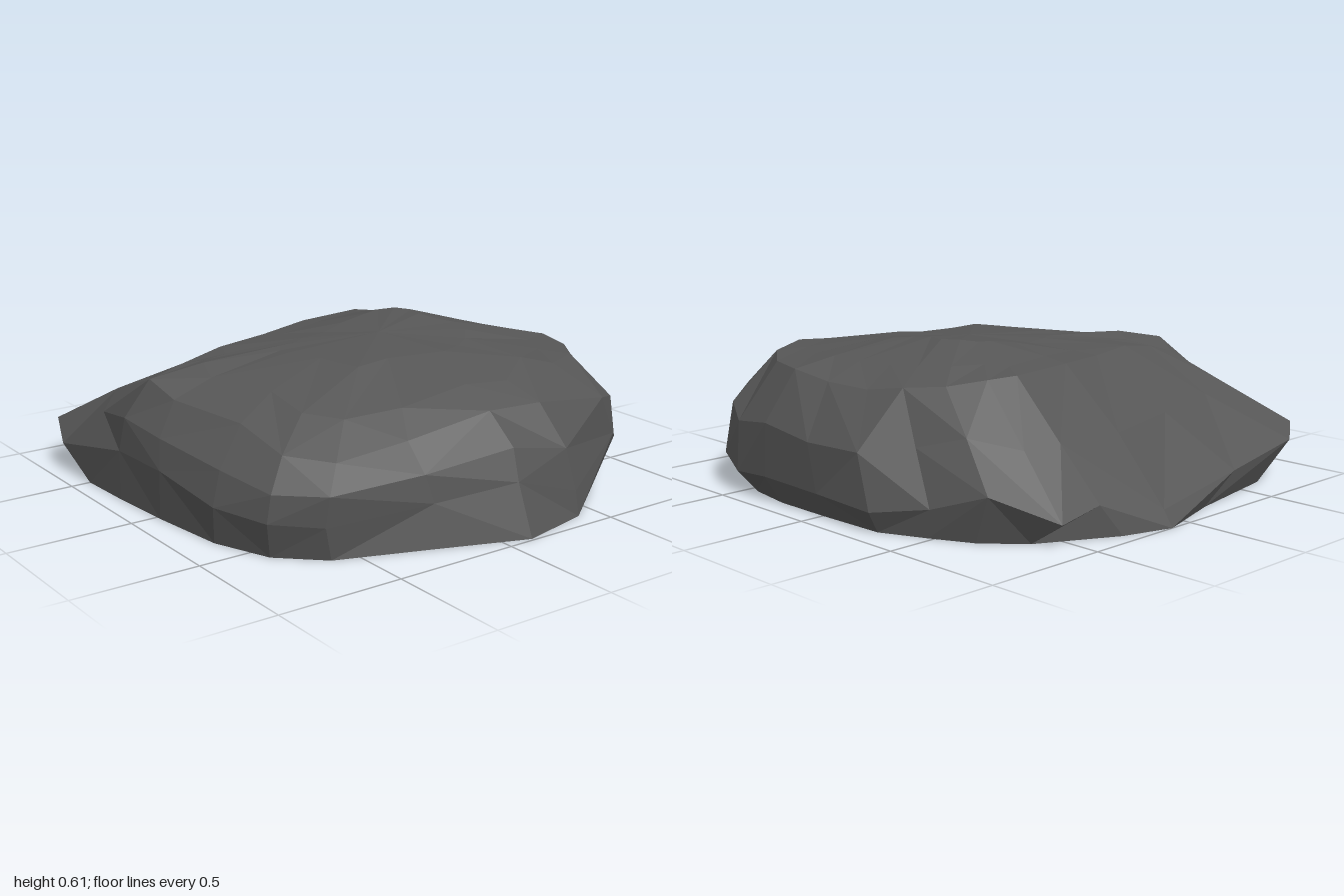
import * as THREE from 'three';

// Ground outline [x, z], clockwise from the back as seen from above
const base = [
  [.1, -1], [.3, -.94], [.6, -.78], [.73, -.64], [.81, -.48], [.89, -.3], [.9, 0], [.9, .25],
  [.87, .45], [.79, .6], [.62, .76], [.41, .92], [.11, .99], [-.24, .86], [-.6, .73], [-.76, .58],
  [-.85, .35], [-.89, .02], [-.91, -.25], [-.92, -.5], [-.85, -.67], [-.64, -.83], [-.2, -.91],
].map(([x, z]) => [x, 0, z]);

// Widest outline just above the ground [x, y, z]
const belt = [
  [.1, .06, -.96], [.38, .12, -.9], [.58, .09, -.91], [.74, .18, -.71], [.82, .11, -.5],
  [.93, .08, -.3], [.93, .09, 0], [.94, .1, .3], [.94, .09, .48], [.91, .14, .6], [.8, .2, .7],
  [.4, .1, .91], [.1, .2, .92], [-.22, .16, .83], [-.63, .13, .74], [-.79, .14, .61],
  [-.87, .15, .38], [-.9, .2, .05], [-.91, .2, -.25], [-.94, .12, -.69], [-.91, .2, -.79],
  [-.78, .16, -.88], [-.38, .11, -.91],
];

// Edge of the crown: high at the front right, sloping down to the front left
const shoulder = [
  [.1, .53, -.47], [.4, .53, -.51], [.5, .52, -.46], [.62, .5, -.37], [.71, .49, -.24],
  [.76, .47, -.1], [.8, .48, .08], [.83, .51, .24], [.78, .51, .42], [.67, .52, .57],
  [.49, .53, .66], [.3, .44, .8], [.1, .43, .75], [-.25, .37, .71], [-.55, .34, .69],
  [-.69, .36, .56], [-.71, .42, .32], [-.79, .44, -.02], [-.81, .49, -.17], [-.74, .45, -.29],
  [-.6, .49, -.29], [-.4, .52, -.33], [-.15, .52, -.4],
];

let seed = 7;
const jitter = (amount) => {
  seed = (seed * 16807) % 2147483647;
  return (seed / 2147483647 - 0.5) * 2 * amount;
};

// Outward swelling of the sides; the outer parts of the back slope stay straight
function swell(x, z) {
  if (z < -.45 && Math.abs(x - .1) > .3) return 0;
  return x > .7 ? .07 : .045;
}

// Step between belt and crown edge
function flank(t) {
  return belt.map((a, i) => {
    const b = shoulder[i];
    const k = 1 + swell(a[0], a[2]) + jitter(.01);
    return [
      THREE.MathUtils.clamp((a[0] + (b[0] - a[0]) * t) * k, -.9, .94),
      a[1] + (b[1] - a[1]) * t + jitter(.015),
      (a[2] + (b[2] - a[2]) * t) * k,
    ];
  });
}

// Gentle crown with its summit right of centre
const crownHeight = (x, z) =>
  .55 + .065 * Math.exp(-((x - .4) ** 2 + (z + .05) ** 2) / .12) - .02 * z * z;

function crownRing(scale) {
  return shoulder.map(([sx, sy, sz]) => {
    const s = scale + jitter(.04);
    const x = .1 + (sx - .1) * s, z = .04 + (sz - .04) * s;
    const edge = Math.max(0, s - .6) * 2.1;
    return [x, THREE.MathUtils.lerp(crownHeight(x, z), sy, edge) + jitter(.006), z];
  });
}

function rockGeometry() {
  const rings = [base, belt, flank(.5), shoulder, crownRing(.8), crownRing(.45)];
  const n = base.length;
  const positions = [];
  const tri = (...corners) => corners.forEach((c) => positions.push(...c));

  for (let r = 0; r < rings.length - 1; r++) {
    for (let i = 0; i < n; i++) {
      const j = (i + 1) % n;
      const a = rings[r][i], a2 = rings[r][j], b = rings[r + 1][i], b2 = rings[r + 1][j];
      // Vary the diagonal so the facets look broken rather than gridded
      if (jitter(1) > 0) { tri(a2, a, b); tri(a2, b, b2); }
      else { tri(a2, a, b2); tri(a, b, b2); }
    }
  }

  // Close the summit and the flat underside
  const top = rings[rings.length - 1];
  const summit = [.12, crownHeight(.12, .04), .04];
  for (let i = 0; i < n; i++) {
    const j = (i + 1) % n;
    tri(summit, top[j], top[i]);
    tri([0, 0, 0], base[i], base[j]);
  }

  const geometry = new THREE.BufferGeometry();
  geometry.setAttribute('position', new THREE.Float32BufferAttribute(positions, 3));
  geometry.computeVertexNormals();
  return geometry;
}

export function createModel() {
  const group = new THREE.Group();
  group.name = 'boulder';
  const rock = new THREE.Mesh(
    rockGeometry(),
    new THREE.MeshStandardMaterial({ color: 0x565656, flatShading: true }),
  );
  rock.name = 'rock';
  group.add(rock);
  return group;
}
